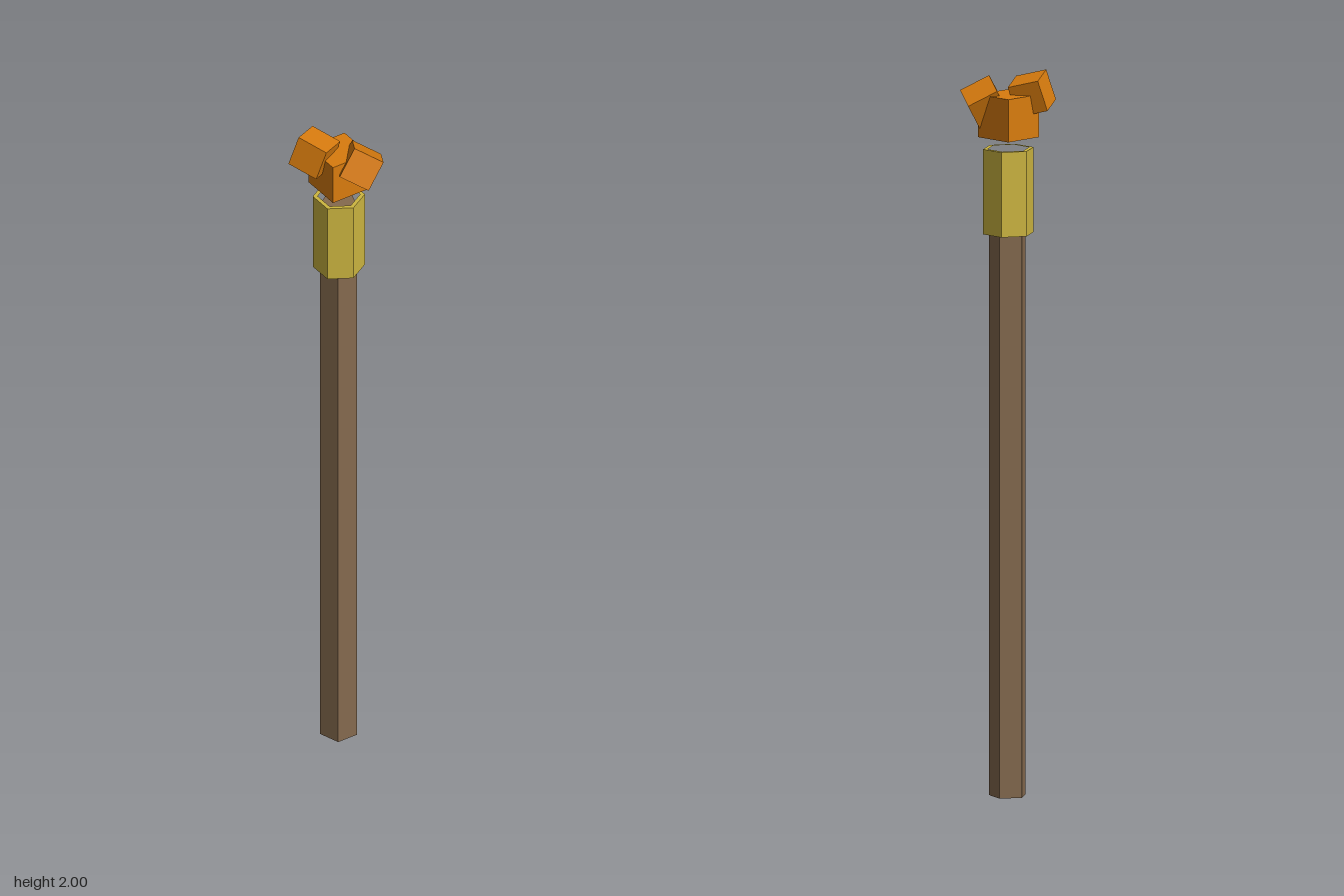
import * as THREE from 'three';
import { toCreasedNormals } from 'three/addons/utils/BufferGeometryUtils.js';

const CX = 0.01, CZ = -0.013; // axis of the shaft

function material(name, color) {
  const m = new THREE.MeshStandardMaterial({ color });
  m.name = name;
  return m;
}

// Regular hexagon with points towards front and back
function hexagon(radius, Path) {
  const pts = [];
  for (let i = 0; i < 6; i++) {
    const a = (i * Math.PI) / 3;
    pts.push(new THREE.Vector2(Math.sin(a) * radius, Math.cos(a) * radius));
  }
  return new Path(pts);
}

export function createModel() {
  const wood = material('brown wood', 0x856a4e);
  const brass = material('yellow brass', 0xcdb640);
  const fire = material('orange flame', 0xd97c0e);
  const model = new THREE.Group();
  model.name = 'torch';

  function add(name, geometry, mat, x, y, z) {
    const mesh = new THREE.Mesh(geometry, mat);
    mesh.name = name;
    mesh.position.set(x, y, z);
    model.add(mesh);
    return mesh;
  }

  // Five-sided shaft with its flat face to the front, ending inside the collar
  const shaft = new THREE.CylinderGeometry(0.053, 0.053, 1.77, 5).rotateY(Math.PI);
  add('handle', toCreasedNormals(shaft, 0.3), wood, CX, 0.885, CZ);

  // Hollow six-sided collar
  const ring = hexagon(0.071, THREE.Shape);
  ring.holes.push(hexagon(0.058, THREE.Path));
  const collar = new THREE.ExtrudeGeometry(ring, { depth: 0.235, bevelEnabled: false });
  collar.rotateX(-Math.PI / 2);
  add('collar', collar, brass, CX, 1.555, CZ);

  // Flame: one upright cube and two tumbled smaller ones
  const core = 0.118, ember = 0.089;
  add('flameCore', new THREE.BoxGeometry(core, core, core), fire, 0.011, 1.88, -0.015);

  const embers = [
    // name, centre, side direction, up direction
    ['flameFront', [0.041, 1.912, 0.046], [0.060, -0.040, 0.051], [0.052, 0.0715, -0.001]],
    ['flameBack', [-0.0495, 1.938, -0.044], [0.076, -0.0177, -0.044], [0.024, 0.0854, 0.0125]],
  ];
  for (const [name, centre, side, up] of embers) {
    const x = new THREE.Vector3(...side).normalize();
    const z = new THREE.Vector3().crossVectors(x, new THREE.Vector3(...up)).normalize();
    const y = new THREE.Vector3().crossVectors(z, x);
    const cube = add(name, new THREE.BoxGeometry(ember, ember, ember), fire, ...centre);
    cube.quaternion.setFromRotationMatrix(new THREE.Matrix4().makeBasis(x, y, z));
  }

  return model;
}
